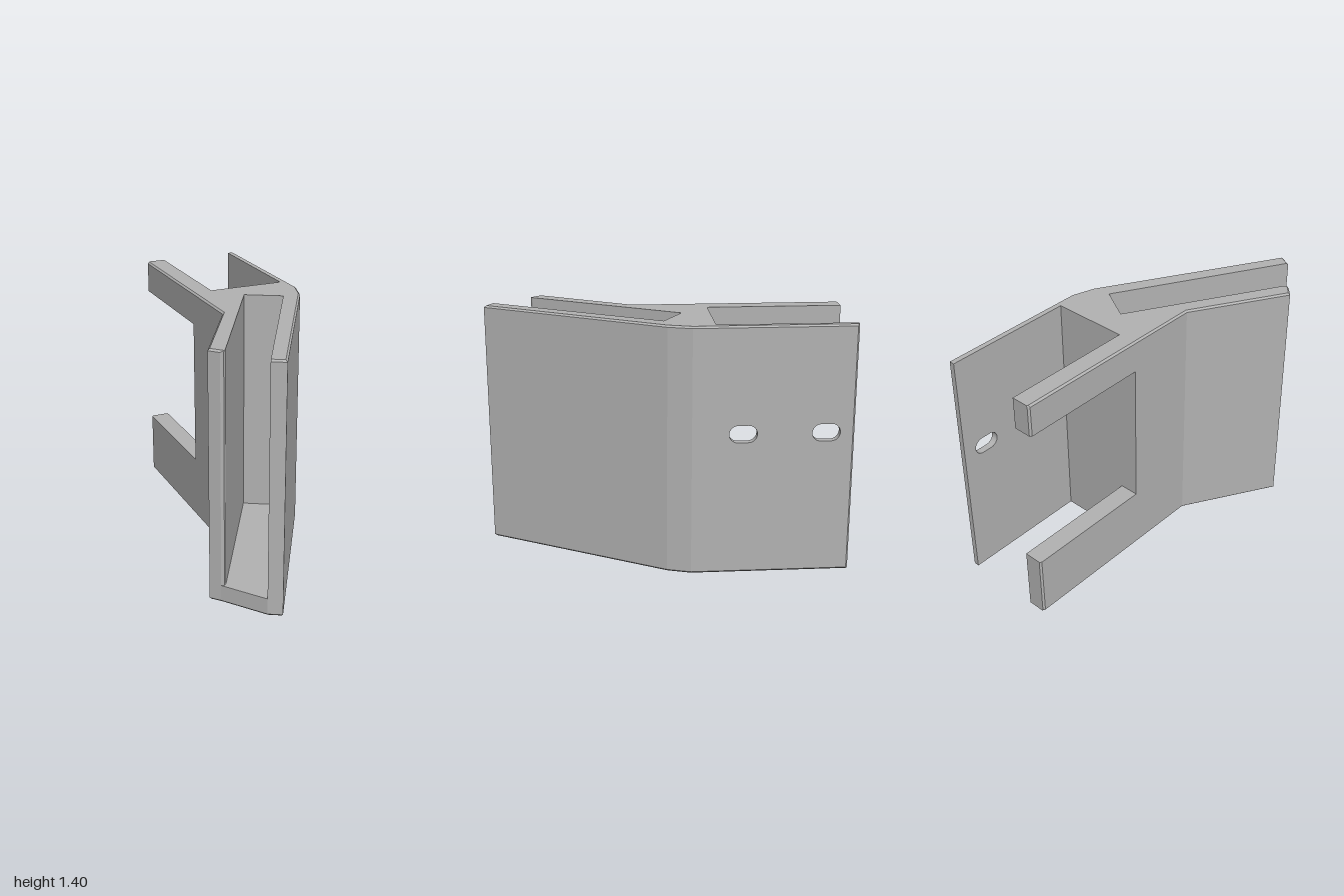
import * as THREE from 'three';

const H = 1.4, B = 0.01;          // overall height and edge chamfer
const FLOOR = 0.1;                // floor height of the angled slot
const BACK = -0.245;              // rear face of the central web
const BAND = [0.7, 0.9];          // strip of the side plate holding the holes

// Insets each edge of an outline by its own chamfer; points are [x, z, chamfer of the edge that follows]
function inset(pts) {
  const n = pts.length;
  const lines = pts.map(([x, z, c], i) => {
    const q = pts[(i + 1) % n];
    const d = new THREE.Vector2(q[0] - x, q[1] - z).normalize();
    return { d, p: new THREE.Vector2(x - d.y * c, z + d.x * c) };
  });
  return lines.map((b, i) => {
    const a = lines[(i + n - 1) % n];
    const t = b.p.clone().sub(a.p).cross(b.d) / a.d.cross(b.d);
    return a.p.clone().addScaledVector(a.d, t);
  });
}

// Upright prism from a plan outline, with optional chamfers at the bottom and top
function prism(pts, y0, y1, { low = false, high = false, bottomCap = true } = {}) {
  const full = pts.map(p => new THREE.Vector2(p[0], p[1]));
  const small = inset(pts);
  const rings = [];
  if (low) rings.push([small, y0], [full, y0 + B]); else rings.push([full, y0]);
  if (high) rings.push([full, y1 - B], [small, y1]); else rings.push([full, y1]);

  const pos = [];
  const put = (v, y) => pos.push(v.x, y, v.y);
  for (let r = 0; r + 1 < rings.length; r++) {
    const [lo, yl] = rings[r], [hi, yh] = rings[r + 1];
    for (let i = 0; i < lo.length; i++) {
      const j = (i + 1) % lo.length;
      put(lo[i], yl); put(hi[i], yh); put(hi[j], yh);
      put(lo[i], yl); put(hi[j], yh); put(lo[j], yl);
    }
  }
  const cap = ([ring, y], up) => {
    for (const [a, b, c] of THREE.ShapeUtils.triangulateShape(ring.slice(), []))
      for (const k of up ? [a, c, b] : [a, b, c]) put(ring[k], y);
  };
  if (bottomCap) cap(rings[0], false);
  cap(rings[rings.length - 1], true);

  const g = new THREE.BufferGeometry();
  g.setAttribute('position', new THREE.Float32BufferAttribute(pos, 3));
  g.computeVertexNormals();
  return g;
}

// Rounded slot hole between two u values
function slotHole(u0, u1, y, r) {
  const h = new THREE.Path();
  h.moveTo(u0 + r, y - r);
  h.lineTo(u1 - r, y - r);
  h.absarc(u1 - r, y, r, -Math.PI / 2, Math.PI / 2, false);
  h.lineTo(u0 + r, y + r);
  h.absarc(u0 + r, y, r, Math.PI / 2, Math.PI * 1.5, false);
  return h;
}

export function createModel() {
  const model = new THREE.Group();
  model.name = 'angledBracket';
  const grey = new THREE.MeshStandardMaterial({ color: 0xb2b2b2 });
  grey.name = 'plainGrey';
  const add = (name, geometry) => {
    const m = new THREE.Mesh(geometry, grey);
    m.name = name;
    model.add(m);
  };

  // Central web and angled sleeve: shared outside, with the slot cut only above the floor
  const outside = [
    [-0.145, BACK, 0], [0.44, BACK, B], [0.44, -0.12, B], [0.4, 0.01, B], [-0.17, 1, B],
  ];
  const slot = [
    [-0.24, 0.96, 0], [0.29, 0.02, 0], [0.1, -0.09, 0], [-0.375, 0.735, 0], [-0.388, 0.745, 0],
  ];
  const leftSide = [[-0.405, 0.74, B], [-0.45, 0.69, B], [-0.145, 0.17, B]];
  add('sleeveFloor', prism([...outside, [-0.24, 0.96, B], ...leftSide], 0, FLOOR, { low: true }));
  add('sleeveWalls', prism([...outside, ...slot, ...leftSide], FLOOR, H, { high: true, bottomCap: false }));

  // Two rear fingers on the thick side
  const finger = [
    [-0.135, -1, 0], [-0.035, -1, 0], [-0.035, BACK, 0], [-0.145, BACK, B], [-0.145, -0.99, B / 2],
  ];
  add('lowerFinger', prism(finger, 0, 0.37, { low: true }));
  add('upperFinger', prism(finger, 1.215, H, { high: true }));

  // Thin side plate: solid below and above the pierced band
  const plate = [
    [0.4, -1, 0], [0.43, -1, B / 2], [0.44, -0.99, B], [0.44, BACK, 0], [0.4, BACK, 0],
  ];
  add('lowerPlate', prism(plate, 0, BAND[0], { low: true }));
  add('upperPlate', prism(plate, BAND[1], H, { high: true }));
  const edge = [[0.4, -1, 0], [0.43, -1, 0], [0.44, -0.99, 0], [0.4, -0.99, 0]];
  add('plateRearEdge', prism(edge, ...BAND));

  // Pierced band with two slot holes
  const band = new THREE.Shape([
    new THREE.Vector2(-BACK, BAND[0]), new THREE.Vector2(0.99, BAND[0]),
    new THREE.Vector2(0.99, BAND[1]), new THREE.Vector2(-BACK, BAND[1]),
  ]);
  for (const u of [0.32, 0.77]) band.holes.push(slotHole(u, u + 0.152, 0.807, 0.048));
  const bandGeometry = new THREE.ExtrudeGeometry(band, { depth: 0.04, bevelEnabled: false, curveSegments: 16 });
  bandGeometry.rotateY(Math.PI / 2).translate(0.4, 0, 0);
  add('piercedPlateBand', bandGeometry);

  return model;
}
